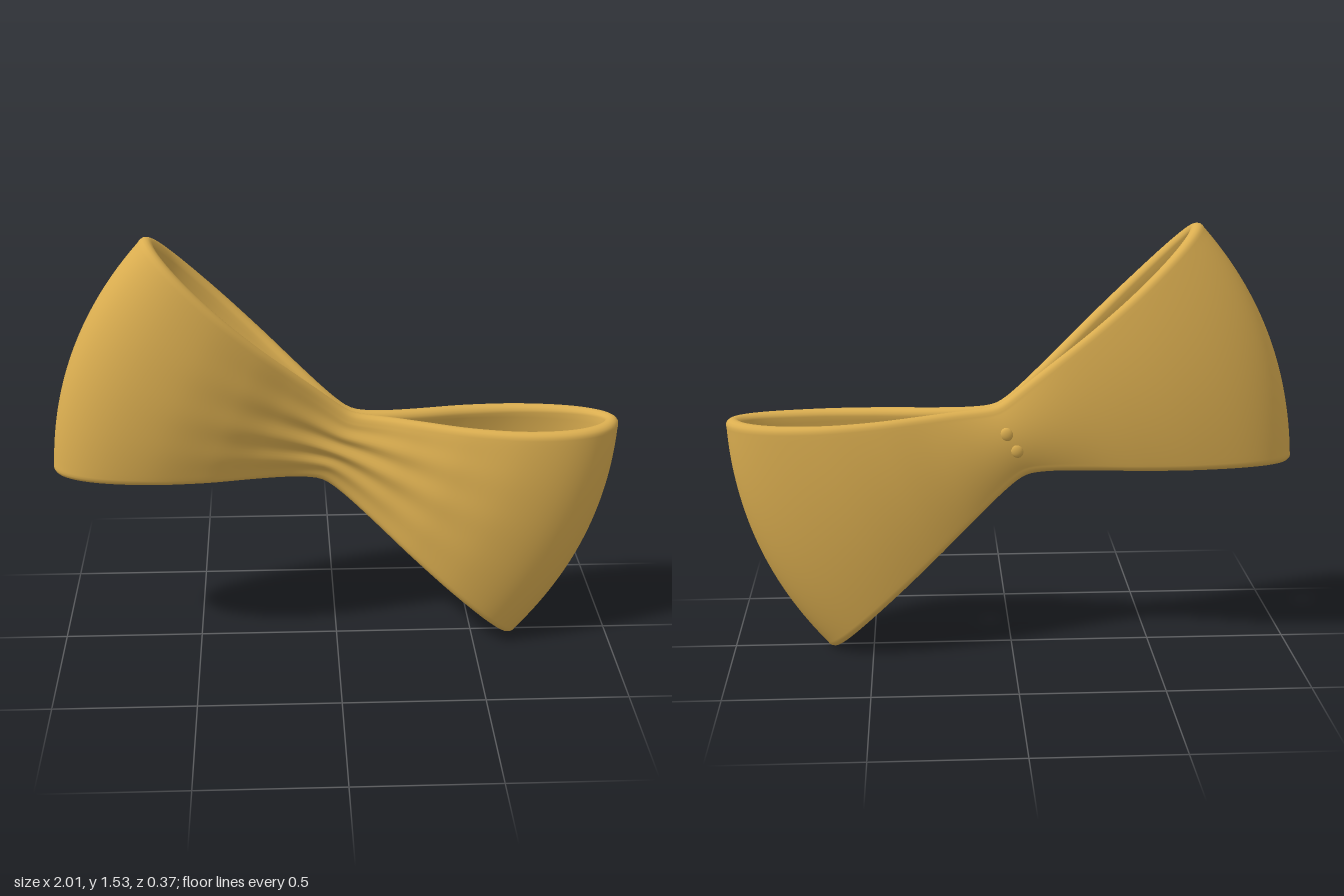
import * as THREE from 'three';

const R = 0.026;      // half thickness of the padded fabric
const LOOP = 200;     // steps around the loop
const STRIP = 32;     // steps across the band
const EDGE = 8;       // steps around each rounded hem

// Loop outline seen from above (u along the bow, z depth), mirrored from one quarter
function loopCurve() {
  const q = [[0.955, 0], [0.935, 0.05], [0.875, 0.1], [0.77, 0.14], [0.6, 0.157],
    [0.42, 0.132], [0.25, 0.083], [0.1, 0.046], [0, 0.038]];
  const inner = q.slice(1, -1);
  const pts = [
    ...q,
    ...inner.slice().reverse().map(([u, z]) => [-u, z]),
    [-q[0][0], 0],
    ...inner.map(([u, z]) => [-u, -z]),
    [0, -q[8][1]],
    ...inner.slice().reverse().map(([u, z]) => [u, -z]),
  ];
  return new THREE.CatmullRomCurve3(pts.map(([u, z]) => new THREE.Vector3(u, 0, z)), true, 'centripetal');
}

// Band cross-section: offset n along the normal, side s, and hem extension e
function bandSection() {
  const sec = [];
  for (let i = 0; i < STRIP; i++) sec.push({ s: -1 + (2 * i) / STRIP, n: 1, e: 0 });
  for (let i = 0; i < EDGE; i++) {
    const a = (Math.PI * i) / EDGE;
    sec.push({ s: 1, n: Math.cos(a), e: Math.sin(a) });
  }
  const half = sec.slice();
  half.forEach(({ s, n, e }) => sec.push({ s: -s, n: -n, e: -e }));
  return sec;
}

function bowGeometry() {
  const curve = loopCurve();
  const section = bandSection();
  const M = section.length;
  const pos = [];
  const index = [];
  for (let i = 0; i < LOOP; i++) {
    const p = curve.getPointAt(i / LOOP);
    const t = curve.getTangentAt(i / LOOP);
    const half = 0.125 + 0.35 * Math.hypot(p.x, 0.04);      // band flares from the waist
    const pinch = 0.15 + 0.4 * Math.exp(-((p.x / 0.2) ** 2)); // hems draw together at the waist
    const bulge = 0.08 * (p.x / 0.955) ** 2;                  // curved outer ends
    for (let j = 0; j < M; j++) {
      const { s, n, e } = section[j];
      const s2 = s * s;
      // gathered pleats on the front only
      const front = THREE.MathUtils.smoothstep(p.z, 0, 0.03);
      const pleat = 0.009 * front * Math.cos(11 * s + 0.8) * (1 - s2) * Math.exp(-((p.x / 0.33) ** 2));
      pos.push(
        p.x * (1 - bulge * s2) + t.z * n * R,
        s * (half - R) + e * R,
        p.z * (1 - pinch * s2) + pleat - t.x * n * R,
      );
      const i2 = (i + 1) % LOOP, j2 = (j + 1) % M;
      const a = i * M + j, b = i2 * M + j, c = i * M + j2, d = i2 * M + j2;
      index.push(a, c, b, b, c, d);
    }
  }
  const g = new THREE.BufferGeometry();
  g.setAttribute('position', new THREE.Float32BufferAttribute(pos, 3));
  g.setIndex(index);
  g.computeVertexNormals();
  return g;
}

export function createModel() {
  const model = new THREE.Group();
  model.name = 'bowTie';
  const fabric = new THREE.MeshStandardMaterial({ color: 0xdbae50 });

  const bow = new THREE.Group();
  bow.name = 'tiltedBow';
  bow.rotation.z = -0.393;
  bow.position.y = 0.75;
  model.add(bow);

  const band = new THREE.Mesh(bowGeometry(), fabric);
  band.name = 'loopedBand';
  bow.add(band);

  // Two small gathers at the back of the waist
  for (const side of [-1, 1]) {
    const gather = new THREE.Mesh(new THREE.SphereGeometry(0.025, 16, 12), fabric);
    gather.name = 'backGather';
    gather.scale.set(0.9, 1, 0.5);
    gather.position.set(0.005 * side, 0.035 * side, -0.059);
    bow.add(gather);
  }
  return model;
}
